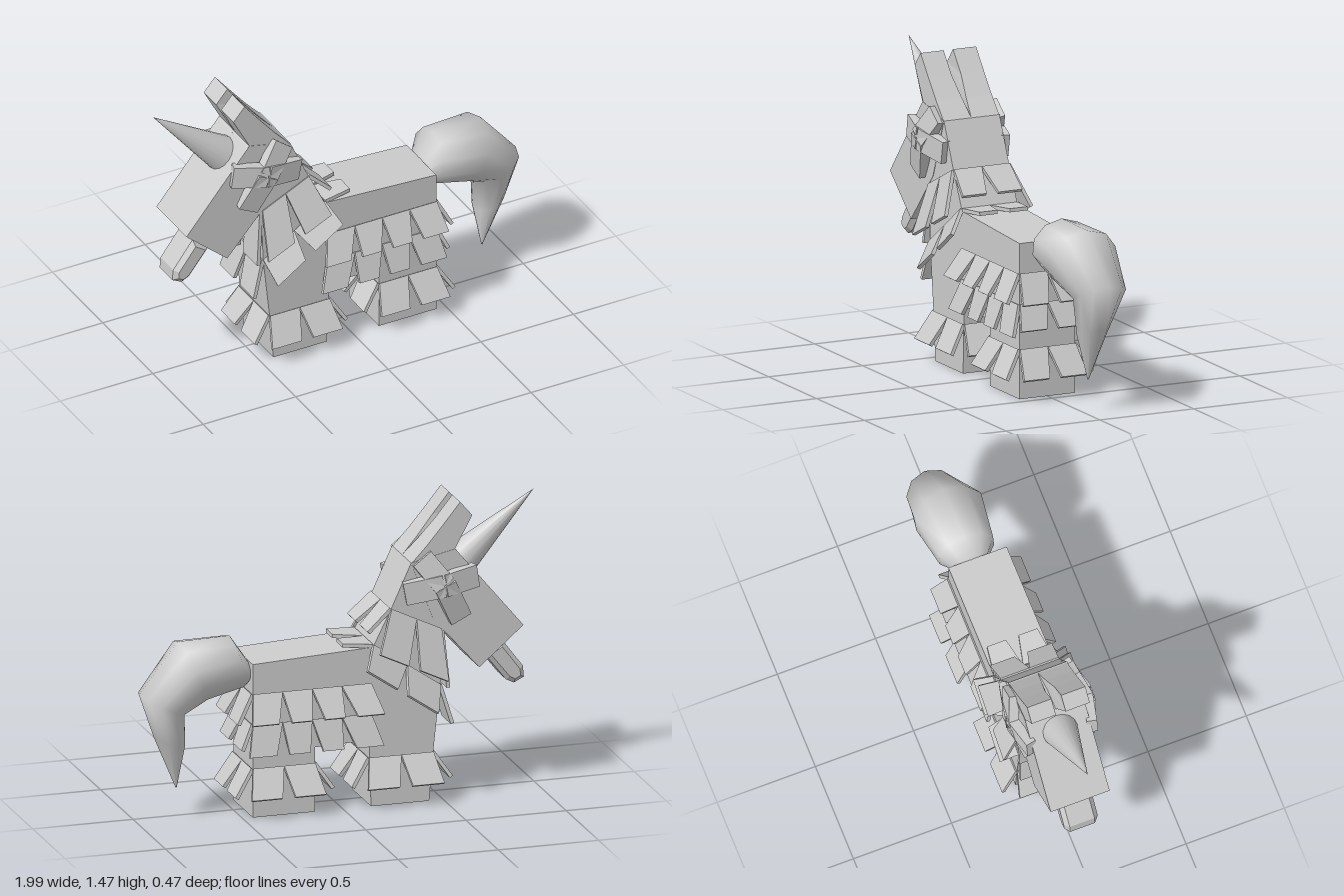
import * as THREE from 'three';

const HALF = 0.148; // half the thickness of the toy
const V = (x, y, z) => new THREE.Vector3(x, y, z);
const flatMat = new THREE.MeshStandardMaterial({ color: 0xcccccc, flatShading: true });
const smoothMat = new THREE.MeshStandardMaterial({ color: 0xcccccc, side: THREE.DoubleSide });

function add(parent, name, geometry, material = flatMat) {
  const mesh = new THREE.Mesh(geometry, material);
  mesh.name = name;
  parent.add(mesh);
  return mesh;
}

// Side outline extruded between two z values
function profile(points, z0, z1, bevel = 0) {
  const shape = new THREE.Shape(points.map(p => new THREE.Vector2(...p)));
  const geo = new THREE.ExtrudeGeometry(shape, {
    depth: z1 - z0 - 2 * bevel, bevelEnabled: bevel > 0, bevelSegments: 1,
    bevelSize: bevel, bevelThickness: bevel, bevelOffset: -bevel,
  });
  return geo.translate(0, 0, z0 + bevel);
}

// Thin slab with corners a, b (top edge) and c, d (below b and a)
function slab(a, b, c, d, thick) {
  const n = b.clone().sub(a).cross(a.clone().sub(d)).normalize();
  const geo = new THREE.BoxGeometry(1, 1, 1);
  const pos = geo.attributes.position;
  for (let i = 0; i < pos.count; i++) {
    const u = pos.getX(i) + 0.5, v = 0.5 - pos.getY(i);
    const p = a.clone().lerp(b, u).lerp(d.clone().lerp(c, u), v);
    p.addScaledVector(n, pos.getZ(i) * thick);
    pos.setXYZ(i, p.x, p.y, p.z);
  }
  geo.computeVertexNormals();
  return geo;
}

// Row of paper flaps hanging from the edge a-b, fanning out by flare at both ends
function flapRow(parent, a, b, n, drop, flare = 0.035, gap = 0.065) {
  const along = b.clone().sub(a).normalize();
  const low0 = a.clone().add(drop).addScaledVector(along, -flare);
  const low1 = b.clone().add(drop).addScaledVector(along, flare);
  for (let i = 0; i < n; i++) {
    const t0 = i / n, t1 = (i + 1) / n;
    const d = low0.clone().lerp(low1, t0).addScaledVector(along, i > 0 ? gap / 2 : 0);
    const c = low0.clone().lerp(low1, t1).addScaledVector(along, i < n - 1 ? -gap / 2 : 0);
    add(parent, 'flap', slab(a.clone().lerp(b, t0), a.clone().lerp(b, t1), c, d, 0.018));
  }
}

// Matching rows on both sides (points in x, y)
function sideRows(parent, a, b, n, dx, dy, out, flare) {
  for (const s of [1, -1]) {
    flapRow(parent, V(...a, s * HALF), V(...b, s * HALF), n, V(dx, dy, s * out), flare);
  }
}

// Row across the front or back end at x, y
function endRow(parent, x, y, dx, dy, flare = 0.02) {
  flapRow(parent, V(x, y, HALF), V(x, y, -HALF), 2, V(dx, dy, 0), flare);
}

function namedGroup(parent, name) {
  const g = new THREE.Group();
  g.name = name;
  parent.add(g);
  return g;
}

export function createModel() {
  const model = new THREE.Group();
  model.name = 'pinata';

  // Body, legs and neck in one outline
  add(model, 'body', profile([
    [-0.43, 0], [-0.14, 0], [-0.13, 0.33], [0.14, 0.32], [0.14, 0], [0.45, 0], [0.45, 0.76],
    [-0.15, 0.79], [-0.24, 0.97], [-0.34, 1.19], [-0.5, 1.05], [-0.495, 0.85], [-0.485, 0.57], [-0.45, 0.24],
  ], -HALF, HALF));

  // Head
  add(model, 'head', profile([
    [-0.9, 0.83], [-0.68, 0.64], [-0.45, 0.9], [-0.34, 1.19], [-0.38, 1.2], [-0.56, 1.24],
  ], -HALF - 0.002, HALF + 0.002));

  // Ears, with a tapering slit between them
  for (const s of [1, -1]) {
    const geo = profile([
      [-0.57, 1.23], [-0.5, 1.1], [-0.345, 1.19], [-0.42, 1.27], [-0.5, 1.365], [-0.585, 1.47], [-0.645, 1.4], [-0.56, 1.24],
    ], s > 0 ? 0 : -HALF, s > 0 ? HALF : 0);
    const pos = geo.attributes.position;
    for (let i = 0; i < pos.count; i++) {
      if (Math.abs(pos.getZ(i)) < 0.01) {
        pos.setZ(i, s * 0.025 * THREE.MathUtils.clamp((pos.getY(i) - 1.2) / 0.16, 0, 1));
      }
    }
    geo.computeVertexNormals();
    add(model, 'ear', geo);
  }

  // Horn
  const tip = V(-1, 1.455, 0), root = V(-0.615, 1.125, 0);
  const horn = add(model, 'horn', new THREE.ConeGeometry(0.092, tip.distanceTo(root), 16), smoothMat);
  horn.position.copy(tip).lerp(root, 0.5);
  horn.quaternion.setFromUnitVectors(V(0, 1, 0), tip.clone().sub(root).normalize());

  // Tongue
  add(model, 'tongue', profile([
    [-0.82, 0.74], [-0.925, 0.6], [-0.93, 0.545], [-0.88, 0.52], [-0.84, 0.54], [-0.73, 0.68],
  ], -0.085, 0.085, 0.022));

  // Crossed eye strips, bent outwards at the middle
  for (const s of [1, -1]) {
    const eye = namedGroup(model, 'eye');
    const mid = V(-0.49, 1.08, s * 0.195);
    for (const [x, y] of [[-0.66, 1.105], [-0.305, 1.045], [-0.39, 1.21], [-0.58, 0.9]]) {
      const end = V(x, y, s * 0.155);
      const side = V(mid.y - y, x - mid.x, 0).setLength(0.055);
      add(eye, 'eyeStrip', slab(
        mid.clone().add(side), mid.clone().sub(side), end.clone().sub(side), end.clone().add(side), 0.05));
    }
  }

  // Neck flaps
  const neck = namedGroup(model, 'neckFlaps');
  sideRows(neck, [-0.49, 0.85], [-0.24, 0.97], 2, 0.035, -0.22, 0.08, 0.05);
  sideRows(neck, [-0.485, 0.57], [-0.15, 0.8], 2, 0.045, -0.11, 0.08, 0.01);
  endRow(neck, -0.495, 0.85, -0.025, -0.29);
  endRow(neck, -0.485, 0.57, -0.055, -0.19);
  endRow(neck, -0.24, 0.97, 0.115, -0.105, 0.01);
  endRow(neck, -0.15, 0.795, 0.145, 0.01, -0.02);

  // Body flaps
  const coat = namedGroup(model, 'bodyFlaps');
  sideRows(coat, [-0.14, 0.61], [0.45, 0.61], 4, -0.01, -0.135, 0.075, 0.035);
  sideRows(coat, [-0.14, 0.46], [0.45, 0.46], 4, -0.01, -0.15, 0.045, 0.04);
  endRow(coat, 0.45, 0.61, 0.075, -0.14);
  endRow(coat, 0.45, 0.46, 0.055, -0.12);

  // Leg flaps
  for (const [name, x0, x1] of [['frontLegFlaps', -0.45, -0.13], ['hindLegFlaps', 0.14, 0.45]]) {
    const leg = namedGroup(model, name);
    sideRows(leg, [x0, 0.24], [x1, 0.24], 2, 0, -0.135, 0.08, 0.03);
    endRow(leg, x0, 0.24, -0.085, -0.125);
    endRow(leg, x1, 0.24, 0.085, -0.135);
  }

  // Tail: rings given by outer point, inner point, half width and z centre
  const rings = [
    [0.435, 0.74, 0.44, 0.65, 0.07, -0.03], [0.53, 0.88, 0.48, 0.62, 0.145, -0.035],
    [0.79, 0.875, 0.66, 0.58, 0.18, -0.04], [0.99, 0.635, 0.765, 0.53, 0.13, -0.06],
    [0.91, 0.41, 0.755, 0.36, 0.075, -0.045], [0.8, 0.15, 0.795, 0.152, 0.003, -0.04],
  ];
  const N = 10, verts = [], faces = [];
  for (const [ox, oy, ix, iy, w, zc] of rings) {
    for (let k = 0; k < N; k++) {
      const a = (k / N) * Math.PI * 2, t = (1 - Math.cos(a)) / 2;
      verts.push(ox + (ix - ox) * t, oy + (iy - oy) * t, zc + w * Math.sin(a));
    }
  }
  for (let r = 0; r < rings.length - 1; r++) {
    for (let k = 0; k < N; k++) {
      const a = r * N + k, b = r * N + (k + 1) % N;
      faces.push(a, b, a + N, b, b + N, a + N);
    }
  }
  const tail = new THREE.BufferGeometry();
  tail.setAttribute('position', new THREE.Float32BufferAttribute(verts, 3));
  tail.setIndex(faces);
  tail.computeVertexNormals();
  add(model, 'tail', tail, smoothMat);

  return model;
}
